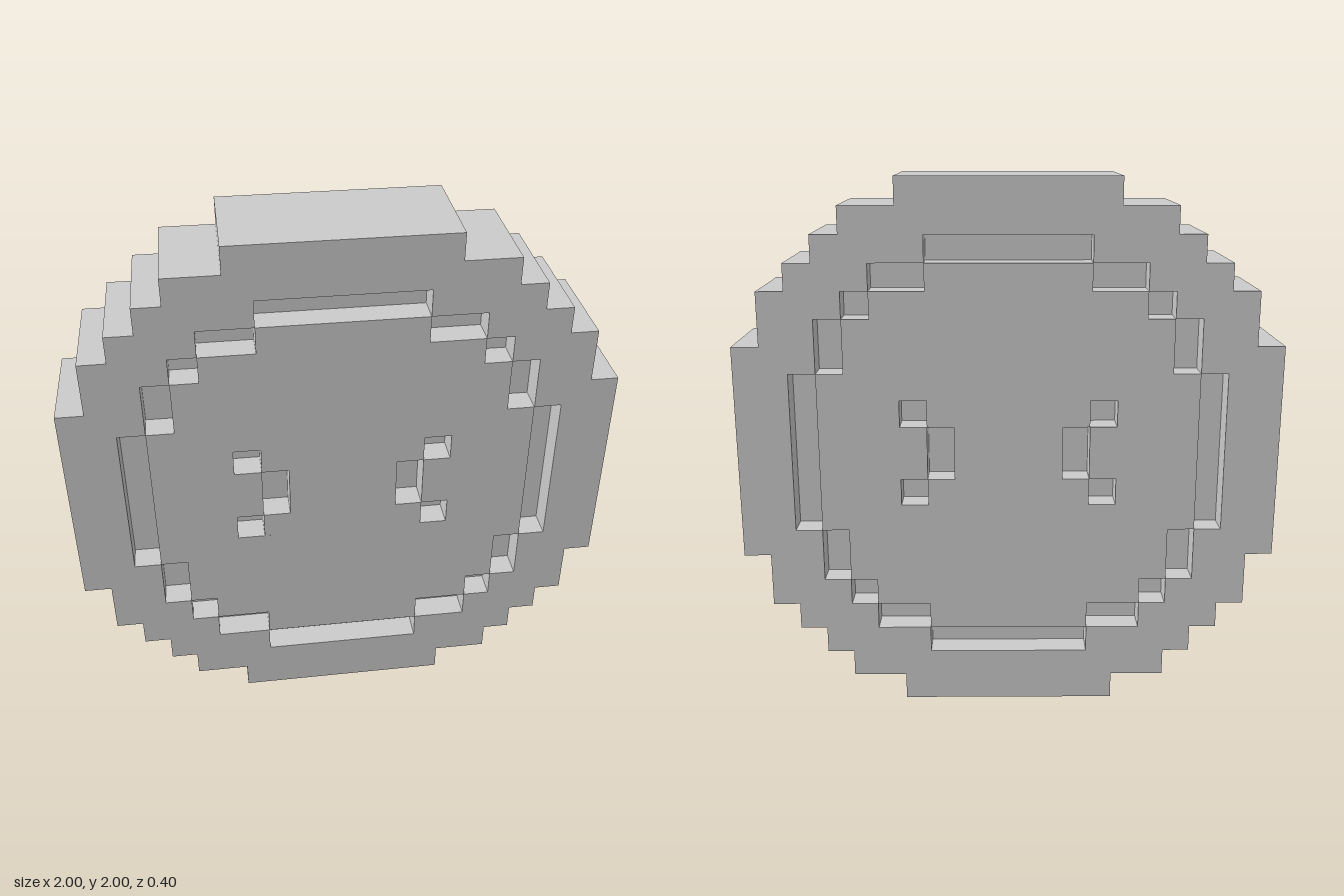
import * as THREE from 'three';

const CENTRE_Y = 1;
const THICKNESS = 0.4;
const GROOVE_DEPTH = 0.1;

const material = new THREE.MeshStandardMaterial({ color: 0xcccccc, flatShading: true });

// Full stepped ring from the outer corners [x, y] of its upper right quarter,
// listed from the right side up to the top
function steppedRing(corners) {
  const quarter = [];
  corners.forEach(([x, y], i) => {
    quarter.push([x, y]);
    if (i < corners.length - 1) quarter.push([corners[i + 1][0], y]);
  });
  const back = [...quarter].reverse();
  return [
    ...quarter,
    ...back.map(([x, y]) => [-x, y]),
    ...quarter.map(([x, y]) => [-x, -y]),
    ...back.map(([x, y]) => [x, -y]),
  ].map(([x, y]) => new THREE.Vector2(x, y + CENTRE_Y));
}

// Rectangular hole between two corners
function rectHole(x0, y0, x1, y1) {
  return [[x0, y0], [x0, y1], [x1, y1], [x1, y0]].map(
    ([x, y]) => new THREE.Vector2(x, y + CENTRE_Y));
}

// Straight extrusion centred on z = 0
function slab(name, outline, depth, holes = []) {
  const shape = new THREE.Shape(outline);
  shape.holes = holes.map((points) => new THREE.Path(points));
  const geometry = new THREE.ExtrudeGeometry(shape, { depth, bevelEnabled: false });
  geometry.translate(0, 0, -depth / 2);
  const mesh = new THREE.Mesh(geometry, material);
  mesh.name = name;
  return mesh;
}

export function createModel() {
  const coin = new THREE.Group();
  coin.name = 'coin';

  const rimOuter = steppedRing([[1, 0.4], [0.9, 0.6], [0.8, 0.7], [0.7, 0.8], [0.6, 0.9], [0.4, 1]]);
  const grooveOuter = steppedRing([[0.8, 0.3], [0.7, 0.5], [0.6, 0.6], [0.5, 0.7], [0.3, 0.8]]);
  const grooveInner = steppedRing([[0.7, 0.3], [0.6, 0.5], [0.5, 0.6], [0.3, 0.7]]);

  // Raised outer rim
  coin.add(slab('rim', rimOuter, THICKNESS, [grooveOuter]));

  // Sunken plate: floor of the groove and of the marks on both sides
  coin.add(slab('grooveFloor', grooveOuter, THICKNESS - 2 * GROOVE_DEPTH));

  // Raised centre with a three-cell mark cut into each half
  const marks = [];
  for (const side of [-1, 1]) {
    marks.push(rectHole(side * 0.3, 0.1, side * 0.4, 0.2));
    marks.push(rectHole(side * 0.2, -0.1, side * 0.3, 0.1));
    marks.push(rectHole(side * 0.3, -0.2, side * 0.4, -0.1));
  }
  coin.add(slab('centreFace', grooveInner, THICKNESS, marks));

  return coin;
}
